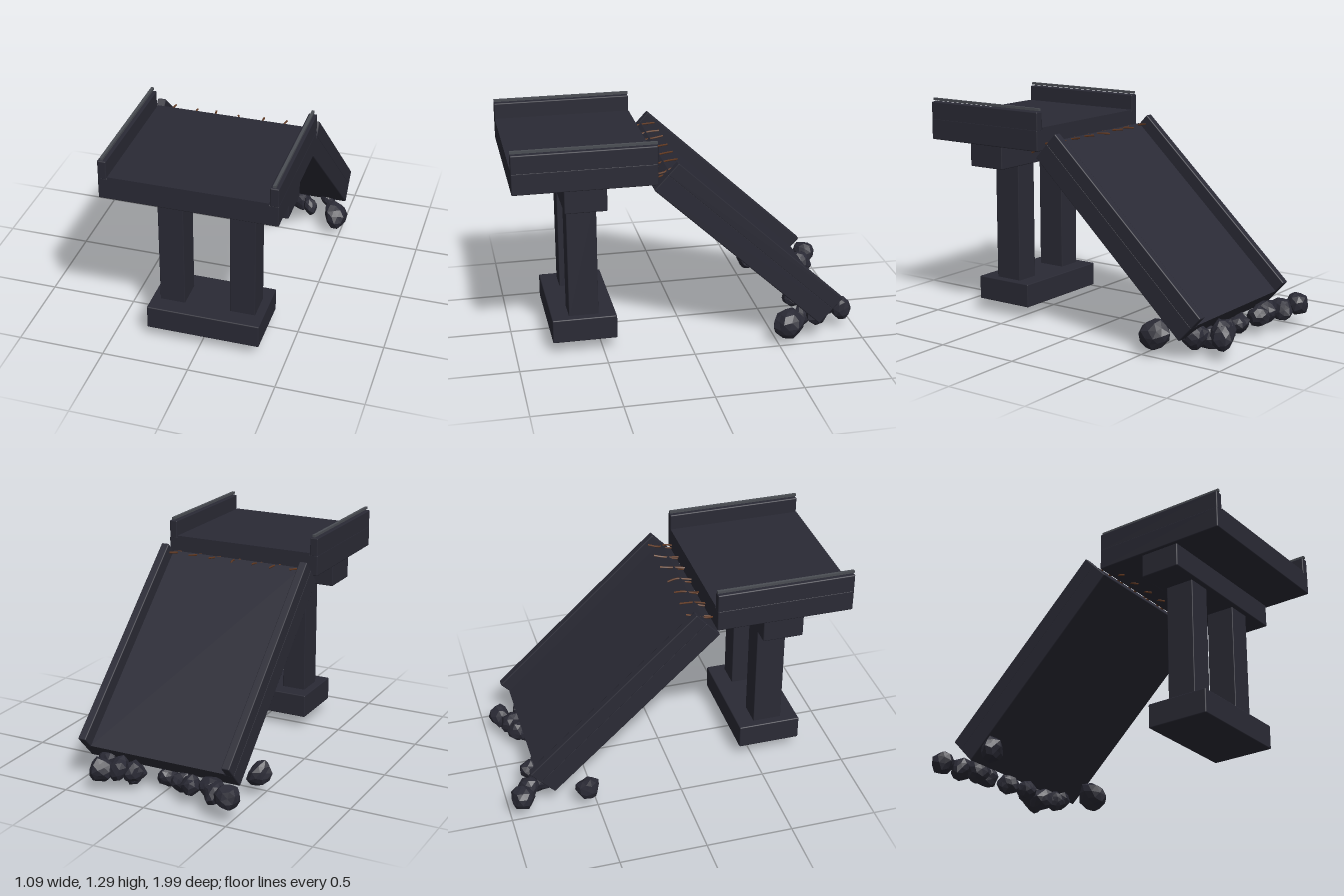
import * as THREE from 'three';
import { RoundedBoxGeometry } from 'three/addons/geometries/RoundedBoxGeometry.js';

const concrete = new THREE.MeshStandardMaterial({ color: 0x2a2a35 });
concrete.name = 'dark concrete';
const steel = new THREE.MeshStandardMaterial({ color: 0x4a4d53 });
steel.name = 'rail steel';
const rust = new THREE.MeshStandardMaterial({ color: 0x633a22 });
rust.name = 'rusty iron';

function seeded(seed) {
  return () => {
    seed = (seed * 16807) % 2147483647;
    return seed / 2147483647;
  };
}

export function createModel() {
  const model = new THREE.Group();
  model.name = 'collapsedBridge';
  const cx = 0.02; // the structure's centre line

  // Bevelled block given by its extents [min, max] on each axis
  function block(parent, name, x, y, z, bevel = 0.006, material = concrete) {
    const size = [x, y, z].map(([a, b]) => b - a);
    const geometry = bevel
      ? new RoundedBoxGeometry(...size, 1, bevel)
      : new THREE.BoxGeometry(...size);
    const mesh = new THREE.Mesh(geometry, material);
    mesh.name = name;
    mesh.position.set(...[x, y, z].map(([a, b]) => (a + b) / 2));
    parent.add(mesh);
    return mesh;
  }
  const span = (half, c = cx) => [c - half, c + half];

  // Standing pier
  const pier = new THREE.Group();
  pier.name = 'pier';
  block(pier, 'footing', span(0.327), [0.08, 0.22], [0.42, 0.79]);
  for (const side of [-1, 1]) {
    block(pier, 'column', span(0.073, cx + side * 0.205), [0.21, 0.93], [0.52, 0.69], 0.004);
  }
  block(pier, 'capBeam', span(0.465), [0.92, 1.06], [0.485, 0.72]);
  model.add(pier);

  // Intact deck with parapets and handrails
  const deck = new THREE.Group();
  deck.name = 'standingDeck';
  block(deck, 'deckSlab', span(0.485), [1.055, 1.178], [0.208, 1.0]);
  block(deck, 'roadSurface', span(0.432), [1.17, 1.188], [0.208, 1.0], 0);
  for (const side of [-1, 1]) {
    const x = cx + side * 0.46;
    block(deck, 'parapet', span(0.024, x), [1.17, 1.278], [0.208, 1.0]);
    block(deck, 'handrail', span(0.008, x), [1.284, 1.298], [0.208, 1.0], 0, steel);
  }
  model.add(deck);

  // Fallen deck, sloping down towards the back
  const ramp = new THREE.Group();
  ramp.name = 'fallenDeck';
  ramp.position.set(cx, 0.644, -0.322);
  ramp.rotation.x = -0.75;
  block(ramp, 'fallenSlab', span(0.473, 0), [-0.1, 0.018], [-0.66, 0.66]);
  block(ramp, 'fallenRoad', span(0.42, 0), [0.01, 0.028], [-0.66, 0.66], 0);
  for (const side of [-1, 1]) {
    block(ramp, 'fallenParapet', span(0.024, side * 0.449), [0.012, 0.1], [-0.66, 0.66]);
  }
  model.add(ramp);

  // Bent reinforcing bars in the break
  const random = seeded(41);
  const bars = new THREE.Group();
  bars.name = 'reinforcingBars';
  function bar(points) {
    const curve = new THREE.CatmullRomCurve3(points.map(p => new THREE.Vector3(...p)));
    const mesh = new THREE.Mesh(new THREE.TubeGeometry(curve, 8, 0.0055, 5), rust);
    mesh.name = 'reinforcingBar';
    bars.add(mesh);
  }
  for (let i = 0; i < 7; i++) {
    const x = -0.37 + i * 0.132;
    const bend = () => (random() - 0.5) * 0.03;
    bar([[x, 1.09, 0.23], [x + bend(), 1.1, 0.17], [x + bend(), 1.11, 0.12], [x + bend(), 1.115 + bend() * 0.5, 0.06]]);
    const x2 = x + 0.016;
    bar([[x2, 1.03, 0.08], [x2 + bend(), 1.085, 0.12], [x2 + bend(), 1.075, 0.2], [x2, 1.035, 0.3]]);
  }
  model.add(bars);

  // Faceted rubble: x, y, z and half sizes along each axis
  const rubble = new THREE.Group();
  rubble.name = 'rubble';
  const stones = [
    [-0.48, 0.13, -0.55, 0.065, 0.08, 0.065],
    [0.47, 0.13, -0.56, 0.07, 0.09, 0.095],
    [-0.475, 0.14, -0.93, 0.068, 0.075, 0.068],
    [-0.375, 0.12, -0.88, 0.07, 0.07, 0.06],
    [-0.31, 0.11, -0.8, 0.075, 0.07, 0.075],
    [-0.2, 0.11, -0.83, 0.065, 0.06, 0.065],
    [-0.1, 0.08, -0.75, 0.065, 0.06, 0.07],
    [0.01, 0.07, -0.71, 0.055, 0.06, 0.065],
    [0.2, 0.075, -0.75, 0.07, 0.067, 0.075],
    [0.27, 0.07, -0.7, 0.05, 0.06, 0.06],
    [0.16, 0.12, -0.83, 0.06, 0.065, 0.06],
    [0.24, 0.13, -0.86, 0.065, 0.075, 0.065],
    [0.32, 0.13, -0.91, 0.065, 0.075, 0.065],
    [0.37, 0.13, -0.76, 0.06, 0.07, 0.075],
  ];
  for (const [x, y, z, sx, sy, sz] of stones) {
    const geometry = new THREE.IcosahedronGeometry(1, 1);
    const p = geometry.attributes.position;
    const phase = random() * 10;
    const v = new THREE.Vector3();
    for (let i = 0; i < p.count; i++) {
      v.fromBufferAttribute(p, i);
      const lump = 0.95 + 0.1 * Math.sin(v.x * 4 + phase) + 0.08 * Math.sin(v.y * 5 + v.z * 4 + phase * 2);
      p.setXYZ(i, v.x * lump * sx, v.y * lump * sy, v.z * lump * sz);
    }
    geometry.computeVertexNormals(); // unindexed, so facets stay flat
    const stone = new THREE.Mesh(geometry, concrete);
    stone.name = 'stone';
    stone.position.set(x, y, z);
    stone.rotation.set(random() * 0.5, random() * 0.6, random() * 0.5);
    rubble.add(stone);
  }
  model.add(rubble);

  return model;
}
